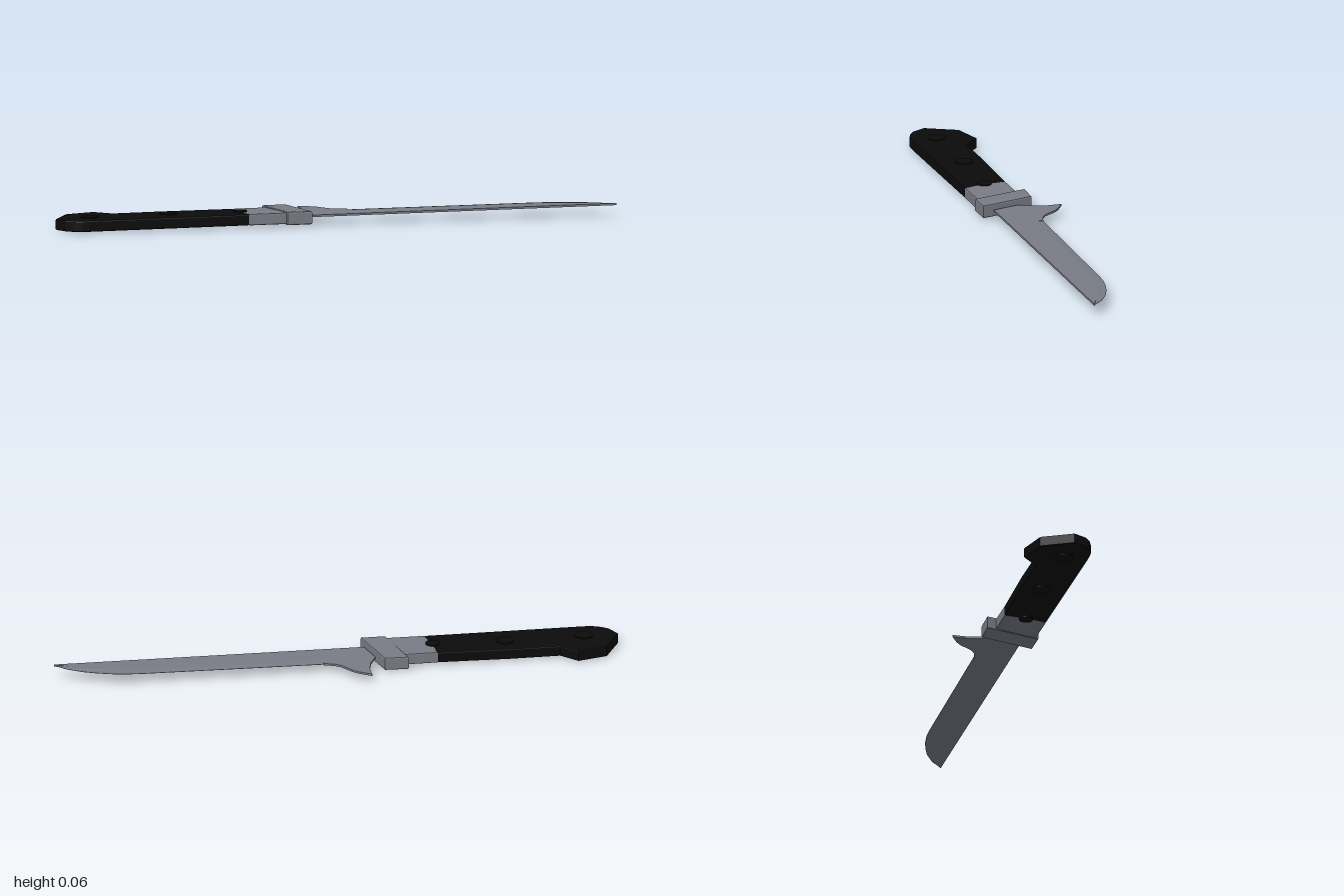
import * as THREE from 'three';

const steel = new THREE.MeshStandardMaterial({ name: 'steel grey', color: 0x797c85 });
const black = new THREE.MeshStandardMaterial({ name: 'grip black', color: 0x0b0b0b });

// Height of the knife's middle plane, which rises slightly towards the tip
const midY = (x) => 0.039 + 0.0108 * x;

// Plate from an [x, z] outline, bevelled, centred on the middle plane.
// thin(x, z) optionally scales the thickness at each vertex.
function plate(name, material, outline, half, bevel, thin = () => 1) {
  const shape = new THREE.Shape(outline.map(([x, z]) => new THREE.Vector2(x, -z)));
  const geo = new THREE.ExtrudeGeometry(shape, {
    depth: 2 * (half - bevel), bevelEnabled: bevel > 0, bevelThickness: bevel,
    bevelSize: bevel, bevelOffset: -bevel, bevelSegments: 2,
  });
  geo.translate(0, 0, -(half - bevel)).rotateX(-Math.PI / 2);
  const p = geo.attributes.position;
  for (let i = 0; i < p.count; i++) {
    const x = p.getX(i);
    p.setY(i, p.getY(i) * thin(x, p.getZ(i)) + midY(x));
  }
  geo.computeVertexNormals();
  const mesh = new THREE.Mesh(geo, material);
  mesh.name = name;
  return mesh;
}

export function createModel() {
  const knife = new THREE.Group();
  knife.name = 'knife';

  // Blade: thick flat along the straight spine, thin ground bevel along the cutting edge
  const edge = [[0.005, -0.15], [0.325, -0.314], [0.645, -0.478], [0.70, -0.503], [0.755, -0.521],
    [0.81, -0.533], [0.87, -0.54], [0.94, -0.536], [1.0, -0.517]];
  const inner = [[0.02, -0.124], [0.335, -0.285], [0.645, -0.444], [0.70, -0.465], [0.755, -0.483],
    [0.81, -0.497], [0.87, -0.507], [0.94, -0.514], [1.0, -0.516]];
  const spur = [[-0.09, 0.062], [-0.165, -0.02], [-0.166, -0.08], [-0.18, -0.135], [-0.207, -0.187],
    [-0.15, -0.183], [-0.12, -0.174], [-0.085, -0.155], [-0.065, -0.145], [-0.035, -0.141], [0.005, -0.15]];
  knife.add(plate('bladeFlat', steel, [...spur, ...inner], 0.004, 0));
  const onEdge = (x, z) => edge.some(([a, b]) => Math.hypot(a - x, b - z) < 0.0005);
  knife.add(plate('bladeEdge', steel, [...edge, ...inner.slice(0, -1).reverse()], 0.004, 0,
    (x, z) => (onEdge(x, z) ? 0.15 : 1)));

  // Guard and bolster
  knife.add(plate('guard', steel,
    [[-0.22, -0.067], [-0.064, 0.1], [-0.15, 0.147], [-0.305, -0.024]], 0.0265, 0.006));
  knife.add(plate('bolster', steel,
    [[-0.395, 0.067], [-0.28, 0.005], [-0.15, 0.135], [-0.29, 0.21], [-0.33, 0.165], [-0.365, 0.115]],
    0.0225, 0.005));

  // Grip with hooked pommel
  knife.add(plate('grip', black,
    [[-0.395, 0.067], [-0.365, 0.11], [-0.335, 0.13], [-0.32, 0.17], [-0.29, 0.21],
      [-0.85, 0.514], [-0.88, 0.527], [-0.915, 0.531], [-0.95, 0.525], [-1, 0.49], [-1, 0.35],
      [-0.91, 0.265], [-0.825, 0.291], [-0.65, 0.195]], 0.022, 0.005));

  // Rivets through the grip
  for (const [x, z, r] of [[-0.88, 0.42, 0.035], [-0.605, 0.265, 0.035], [-0.347, 0.142, 0.028]]) {
    const rivet = new THREE.Mesh(new THREE.CylinderGeometry(r, r, 0.054, 20), black);
    rivet.name = 'rivet';
    rivet.position.set(x, midY(x), z);
    knife.add(rivet);
  }
  return knife;
}
